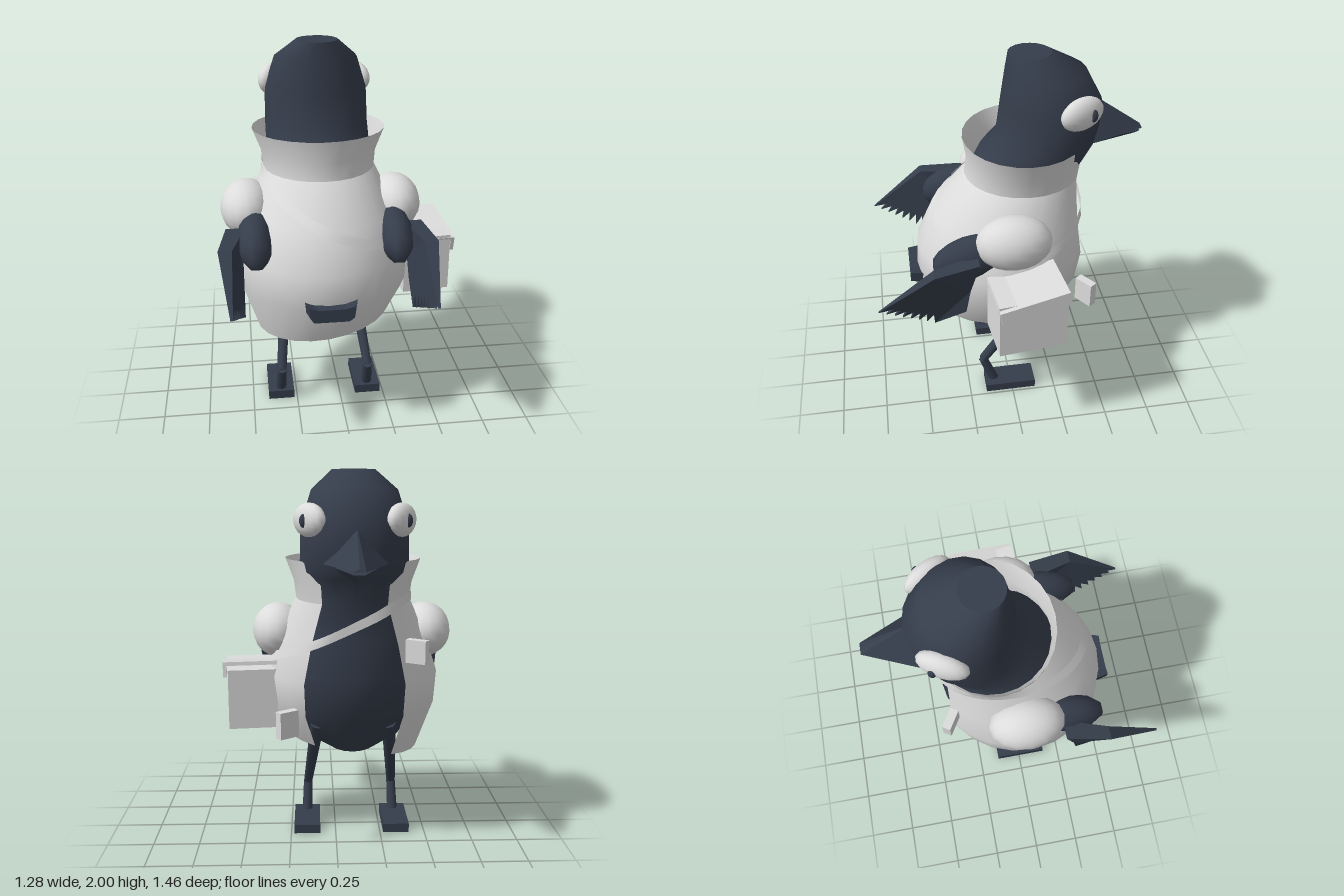
import * as THREE from 'three';
import { ConvexGeometry } from 'three/addons/geometries/ConvexGeometry.js';

const V = (x, y, z) => new THREE.Vector3(x, y, z);
const lerp = THREE.MathUtils.lerp;

// Rings are [y, half width, back z, front z], listed from bottom to top.
const BODY = [
  [0.51, 0.14, 0.22, -0.21], [0.58, 0.28, 0.28, -0.25], [0.75, 0.38, 0.4, -0.36],
  [0.95, 0.4, 0.42, -0.4], [1.15, 0.36, 0.33, -0.37], [1.35, 0.28, 0.19, -0.37],
  [1.47, 0.28, 0.13, -0.45], [1.55, 0.28, 0.045, -0.49], [1.73, 0.275, 0.02, -0.51],
  [1.9, 0.22, -0.005, -0.42], [2.0, 0.11, -0.02, -0.24],
];
const COAT = [
  [0.53, 0.37, 0.41, -0.3], [0.75, 0.46, 0.5, -0.43], [0.93, 0.47, 0.49, -0.46],
  [1.13, 0.4, 0.4, -0.43], [1.34, 0.3, 0.215, -0.41], [1.43, 0.31, 0.2, -0.42], [1.55, 0.355, 0.22, -0.42],
];

// Point on an oval ring; angle 0 is at the back (+z).
function ringPoint([y, w, back, front], t) {
  const zc = (back + front) / 2, d = (back - front) / 2;
  return V(w * Math.sin(t), y, zc + d * Math.cos(t));
}

// Ring of a profile at any height.
function ringAt(rings, y) {
  let i = 0;
  while (i < rings.length - 2 && rings[i + 1][0] < y) i++;
  const a = rings[i], b = rings[i + 1];
  const f = (y - a[0]) / (b[0] - a[0]);
  return a.map((v, k) => lerp(v, b[k], f));
}

// Skin over rows of points, with optional closing of the loop and flat ends.
function skin(rows, closed, caps) {
  const n = rows[0].length, pos = [], idx = [];
  rows.forEach(r => r.forEach(p => pos.push(p.x, p.y, p.z)));
  for (let i = 0; i < rows.length - 1; i++) {
    for (let j = 0; j < (closed ? n : n - 1); j++) {
      const k = (j + 1) % n, a = i * n + j, b = i * n + k;
      idx.push(a, b, b + n, a, b + n, a + n);
    }
  }
  if (caps) {
    [[rows[0], true], [rows[rows.length - 1], false]].forEach(([row, down]) => {
      const start = pos.length / 3;
      const c = row.reduce((s, p) => s.add(p), V(0, 0, 0)).divideScalar(n);
      [...row, c].forEach(p => pos.push(p.x, p.y, p.z));
      for (let j = 0; j < n; j++) {
        const a = start + j, b = start + (j + 1) % n;
        idx.push(start + n, down ? b : a, down ? a : b);
      }
    });
  }
  const g = new THREE.BufferGeometry();
  g.setAttribute('position', new THREE.Float32BufferAttribute(pos, 3));
  g.setIndex(idx);
  g.computeVertexNormals();
  return g;
}

export function createModel() {
  const dark = new THREE.MeshStandardMaterial({ color: 0x353d4b });
  dark.name = 'darkPlumage';
  const light = new THREE.MeshStandardMaterial({ color: 0xdcdcdc, side: THREE.DoubleSide });
  light.name = 'paleCloth';

  const model = new THREE.Group();
  const bird = new THREE.Group();
  bird.name = 'bird';
  bird.position.x = -0.09;
  model.add(bird);

  const add = (name, geo, mat, x = 0, y = 0, z = 0, parent = bird) => {
    const m = new THREE.Mesh(geo, mat);
    m.name = name;
    m.position.set(x, y, z);
    parent.add(m);
    return m;
  };
  const ellipsoid = (rx, ry, rz) => new THREE.SphereGeometry(1, 16, 12).scale(rx, ry, rz);
  const rod = (name, a, b, ra, rb) => {
    const d = b.clone().sub(a);
    const m = add(name, new THREE.CylinderGeometry(rb, ra, d.length(), 8), dark);
    m.position.copy(a).addScaledVector(d, 0.5);
    m.quaternion.setFromUnitVectors(V(0, 1, 0), d.normalize());
  };

  // Body and head in one skin
  const N = 18;
  add('bodyAndHead', skin(BODY.map(r => Array.from({ length: N }, (_, j) => ringPoint(r, j / N * Math.PI * 2))), true, true), dark);

  // Coat, open at the chest, with a slanted hem; the collar is its own skin for a sharp fold
  const OPEN = 2.56;
  const coatRows = COAT.map((r, i) => Array.from({ length: 21 }, (_, j) => {
    const p = ringPoint(r, lerp(-OPEN, OPEN, j / 20));
    if (i === 0) p.y += 0.13 * p.x;
    return p;
  }));
  add('coat', skin(coatRows.slice(0, 5), false, false), light);
  const collarRows = coatRows.slice(4);
  [0, 20].forEach(j => { collarRows[2][j].y -= 0.05; });
  add('collar', skin(collarRows, false, false), light);

  // Shoulder strap wound around the coat
  const strapRows = [-0.025, 0.025].map(h => Array.from({ length: 40 }, (_, j) => {
    const t = j / 40 * Math.PI * 2;
    const y = 1.18 - 0.17 * Math.sin(t) - 0.05 * Math.cos(t) + h;
    const p = ringPoint(ringAt(COAT, y), t);
    p.x *= 1.015;
    p.z = Math.max(p.z + 0.006 * Math.cos(t), -0.4);
    return p;
  }));
  add('strap', skin(strapRows, true, false), light);

  // Beak
  add('upperBeak', new ConvexGeometry([
    V(-0.16, 1.55, -0.44), V(0.16, 1.55, -0.44), V(0, 1.74, -0.47), V(0, 1.635, -0.6),
    V(-0.03, 1.545, -0.735), V(0.03, 1.545, -0.735), V(0, 1.56, -0.73)]), dark);
  add('lowerBeak', new ConvexGeometry([
    V(-0.12, 1.535, -0.42), V(0.12, 1.535, -0.42), V(0, 1.45, -0.45),
    V(-0.025, 1.53, -0.725), V(0.025, 1.53, -0.725), V(0, 1.505, -0.71)]), dark);

  // Tail
  const tailShape = new THREE.Shape([[-0.15, 0.045], [-0.09, 0.03], [0.08, 0.03], [0.155, 0.045],
    [0.145, -0.02], [0.11, -0.04], [-0.12, -0.04], [-0.145, -0.01]].map(p => new THREE.Vector2(...p)));
  const tail = new THREE.ExtrudeGeometry(tailShape, { depth: 0.145, bevelEnabled: false });
  const tp = tail.attributes.position;
  for (let i = 0; i < tp.count; i++) if (tp.getZ(i) > 0.1) tp.setX(i, tp.getX(i) * 0.78);
  tail.computeVertexNormals();
  add('tail', tail, dark, 0, 0.75, 0.4);

  for (const s of [1, -1]) {
    const side = s > 0 ? 'left' : 'right';

    // Eye and pupil
    const eye = add(side + 'Eye', ellipsoid(0.06, 0.085, 0.13), light, s * 0.225, 1.755, -0.355);
    eye.rotation.y = s * 0.5;
    const pupil = add(side + 'Pupil', ellipsoid(0.022, 0.034, 0.022), dark, s * 0.253, 1.755, -0.405);
    pupil.rotation.y = s * 0.5;

    // Sleeve and arm
    add(side + 'Sleeve', ellipsoid(0.14, 0.147, 0.2), light, s * 0.4, 1.145, 0.01);
    const arm = add(side + 'Arm', new THREE.SphereGeometry(1, 10, 8).scale(0.095, 0.12, 0.21), dark, s * 0.365, 1.05, 0.235);
    arm.rotation.x = 0.3;

    // Feathered wing: a toothed plate that thins toward the tips
    const pts = [[0.2, 1.1], [0.43, 1.08]];
    for (let i = 0; i < 8; i++) {
      const f = i / 7;
      pts.push([lerp(0.725, 0.44, f), lerp(0.855, 0.71, f)]);
      if (i < 7) pts.push([lerp(0.645, 0.41, f), lerp(0.87, 0.77, f)]);
    }
    pts.push([0.275, 0.8], [0.25, 0.94]);
    const shape = new THREE.Shape(pts.map(p => new THREE.Vector2(...p)));
    const wing = new THREE.ExtrudeGeometry(shape, { depth: 2, bevelEnabled: false });
    wing.translate(0, 0, -1).rotateY(-Math.PI / 2);
    const wp = wing.attributes.position;
    for (let i = 0; i < wp.count; i++) {
      const y = wp.getY(i), z = wp.getZ(i);
      const half = lerp(0.05, 0.006, THREE.MathUtils.clamp((z - y + 0.9) / 0.75, 0, 1));
      const mid = 0.48 + 0.2 * (y - 0.9) * (z > 0.4 ? 1 : 0) + 0.08 * (z - 0.4);
      wp.setX(i, s * mid + wp.getX(i) * half);
    }
    wing.computeVertexNormals();
    add(side + 'Wing', wing, dark);

    // Leg and foot
    const hip = V(s * 0.19, 0.68, -0.22), ankle = V(s * 0.245, 0.2, 0.165), heel = V(s * 0.25, 0.03, 0.1);
    rod(side + 'Thigh', hip, ankle, 0.04, 0.026);
    rod(side + 'Shin', ankle, heel, 0.026, 0.03);
    add(side + 'Foot', new THREE.BoxGeometry(0.145, 0.05, 0.29), dark, s * 0.25, 0.025, 0.01);
  }

  // Toggles on the coat front, set at different heights
  const upper = add('upperToggle', new THREE.BoxGeometry(0.11, 0.12, 0.045), light, -0.315, 1.1, -0.375);
  upper.rotation.y = -0.56;
  const lower = add('lowerToggle', new THREE.BoxGeometry(0.11, 0.14, 0.045), light, 0.345, 0.73, -0.4);
  lower.rotation.y = 0.62;

  // Satchel with a slanting flap
  const satchel = new THREE.Group();
  satchel.name = 'satchel';
  satchel.position.set(0.55, 0.81, -0.035);
  satchel.rotation.y = 0.11;
  bird.add(satchel);
  add('satchelBag', new THREE.BoxGeometry(0.26, 0.32, 0.36), light, 0, 0, 0, satchel);
  const flap = new THREE.Group();
  flap.name = 'satchelFlap';
  flap.position.set(0.01, 0.165, 0);
  flap.rotation.x = 0.17;
  satchel.add(flap);
  add('flapTop', new THREE.BoxGeometry(0.28, 0.02, 0.365), light, 0, 0, 0, flap);
  add('flapLip', new THREE.BoxGeometry(0.02, 0.08, 0.365), light, 0.135, -0.03, 0, flap);

  return model;
}
